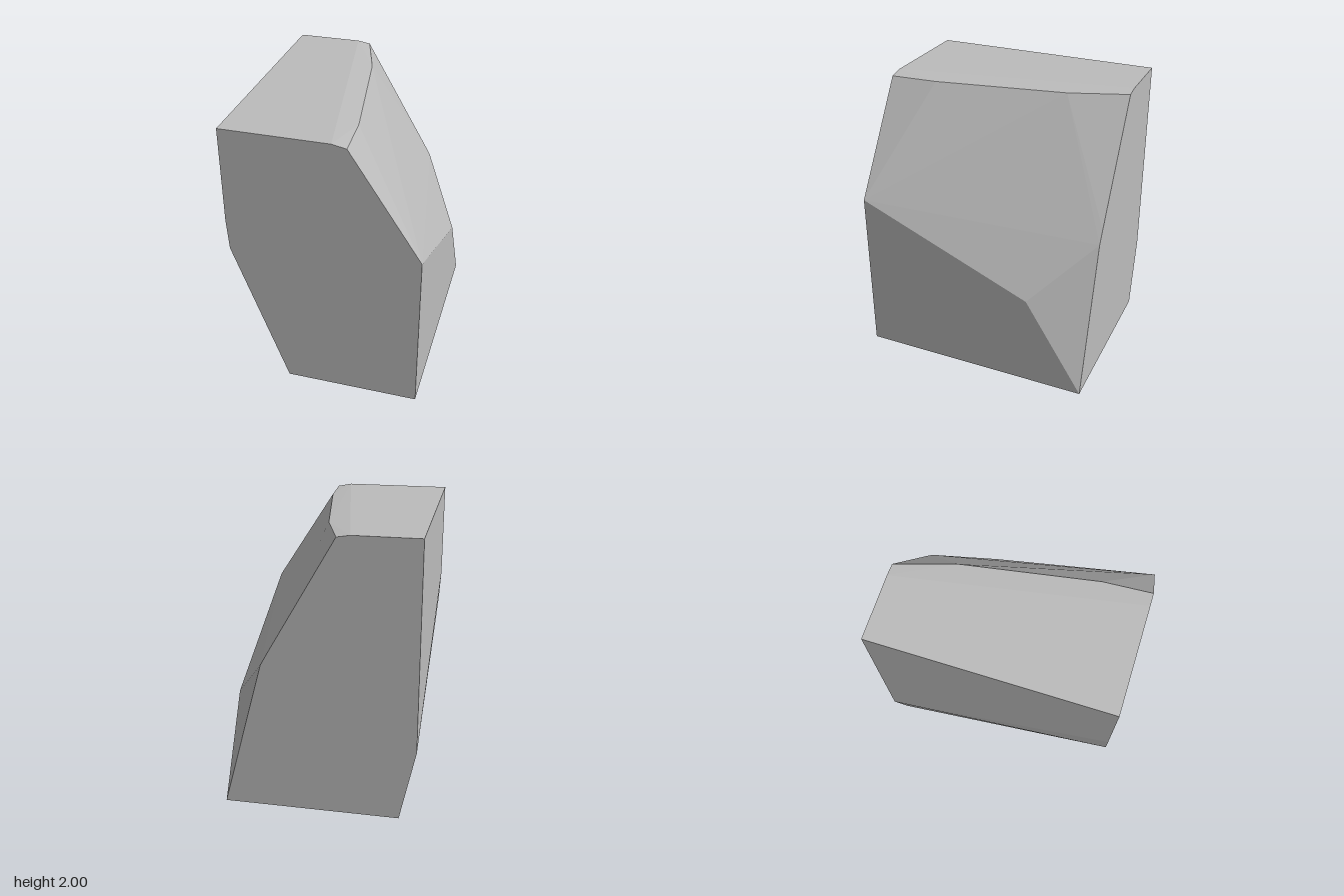
import * as THREE from 'three';
import { ConvexGeometry } from 'three/addons/geometries/ConvexGeometry.js';

const W = 0.68, H = 2, D = 0.84; // half width, height, half depth

export function createModel() {
  const stone = new THREE.MeshStandardMaterial({ color: 0xbcbcbc });
  stone.name = 'stone grey';

  // Outline of the front face, as x, y
  const front = [
    [-W, H], [0.08, H], [0.18, 1.98], [W, 1.21], [W, 0],
    [-0.28, 0], [-0.667, 1.08], [-W, 1.3],
  ];
  // Outline of the back face, as x, y
  const back = [
    [-W, H], [-0.22, H], [-0.13, 1.985], [0.34, 1.17], [0.39, 1.08], [W, 0],
    [-0.57, 0], [-W, 0.52],
  ];
  // Corners of the chipped slope between the two faces
  const chips = [[0, 1.98, -0.43], [0.16, 1.98, 0.5], [W, 0.68, -0.42]];

  const points = [
    ...front.map(([x, y]) => new THREE.Vector3(x, y, D)),
    ...back.map(([x, y]) => new THREE.Vector3(x, y, -D)),
    ...chips.map((p) => new THREE.Vector3(...p)),
  ];

  // Faceted block wrapped around all corners
  const block = new THREE.Mesh(new ConvexGeometry(points), stone);
  block.name = 'chippedBlock';

  const group = new THREE.Group();
  group.name = 'stoneBlock';
  group.add(block);
  return group;
}
